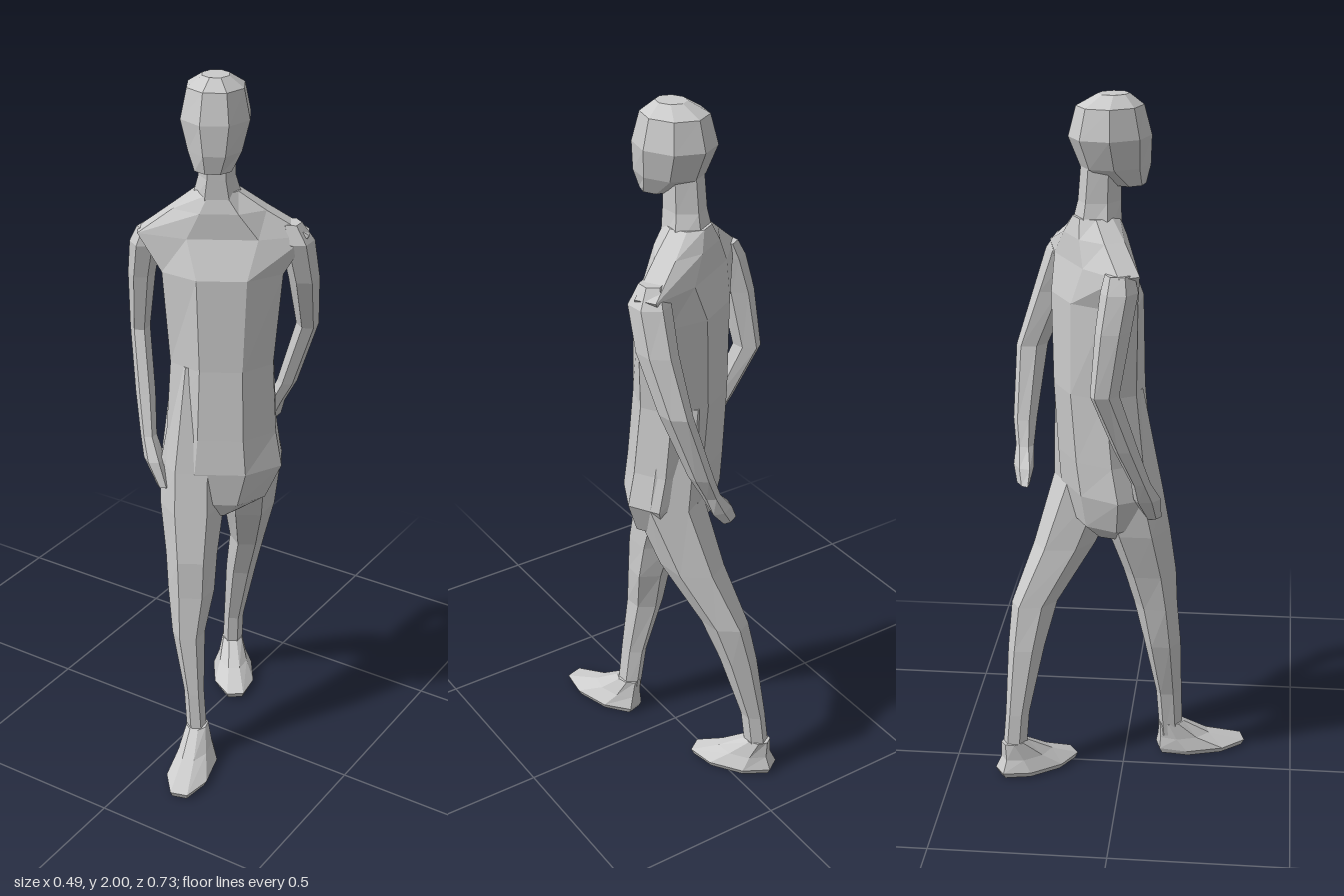
import * as THREE from 'three';

const material = new THREE.MeshStandardMaterial({ color: 0xcccccc, flatShading: true });

// Faceted loft through horizontal rings [x, y, z, halfWidth, halfDepth], listed from top to bottom.
function loft(name, rings, sides = 6, phase = 0) {
  const grow = phase ? 1 / Math.cos(Math.PI / sides) : 1;
  const points = [], faces = [];
  for (const [x, y, z, a, b] of rings) {
    for (let j = 0; j < sides; j++) {
      const t = (j + phase) / sides * Math.PI * 2;
      points.push(x + Math.cos(t) * a * grow, y, z + Math.sin(t) * b * grow);
    }
  }
  const last = (rings.length - 1) * sides;
  for (let i = 0; i < last; i += sides) {
    for (let j = 0; j < sides; j++) {
      const k = (j + 1) % sides;
      faces.push(i + j, i + k, i + sides + k, i + j, i + sides + k, i + sides + j);
    }
  }
  for (let j = 1; j < sides - 1; j++) {
    faces.push(0, j + 1, j, last, last + j, last + j + 1);
  }
  const indexed = new THREE.BufferGeometry();
  indexed.setAttribute('position', new THREE.Float32BufferAttribute(points, 3));
  indexed.setIndex(faces);
  const geometry = indexed.toNonIndexed();
  geometry.computeVertexNormals();
  const mesh = new THREE.Mesh(geometry, material);
  mesh.name = name;
  return mesh;
}

// Foot: ankle widening to an instep and a long thin sole, turned about the ankle
function foot(name, x, z, turn, soleX, soleZ, halfLength) {
  const mesh = loft(name, [
    [0, 0.11, 0, 0.029, 0.036],
    [soleX / 2, 0.06, 0.04, 0.042, 0.075],
    [soleX, 0.022, soleZ, 0.06, halfLength],
    [soleX, 0.005, soleZ, 0.052, halfLength - 0.008],
  ], 8, 0.5);
  mesh.position.set(x, 0, z);
  mesh.rotation.y = turn;
  return mesh;
}

export function createModel() {
  const model = new THREE.Group();
  model.name = 'walkingMan';

  // The figure is built facing +z, then turned towards its walking direction
  const figure = new THREE.Group();
  figure.name = 'figure';
  figure.rotation.y = Math.PI / 6;
  model.add(figure);

  figure.add(loft('head', [
    [0.04, 2.0, -0.01, 0.035, 0.04],
    [0.04, 1.97, -0.02, 0.074, 0.085],
    [0.04, 1.89, -0.02, 0.09, 0.105],
    [0.04, 1.81, -0.004, 0.07, 0.09],
    [0.036, 1.76, 0.03, 0.048, 0.045],
  ], 8, 0.5));

  figure.add(loft('neck', [
    [0.042, 1.83, -0.045, 0.048, 0.055],
    [0.043, 1.72, -0.05, 0.05, 0.06],
    [0.045, 1.63, -0.06, 0.075, 0.07],
  ]));

  figure.add(loft('torso', [
    [0.045, 1.68, -0.06, 0.055, 0.058],
    [0.05, 1.63, -0.06, 0.125, 0.07],
    [0.06, 1.56, -0.062, 0.23, 0.073],
    [0.06, 1.46, -0.05, 0.163, 0.108],
    [0.06, 1.2, -0.045, 0.141, 0.113],
    [0.06, 1.0, -0.03, 0.152, 0.115],
    [0.06, 0.9, -0.02, 0.17, 0.115],
    [0.055, 0.8, -0.015, 0.13, 0.1],
    [0.045, 0.75, -0.005, 0.06, 0.06],
  ], 8, 0.5));

  // Left arm is swung behind the back, right arm hangs in front of the hip
  figure.add(loft('leftArm', [
    [0.24, 1.59, -0.055, 0.03, 0.035],
    [0.258, 1.54, -0.058, 0.048, 0.058],
    [0.28, 1.42, -0.09, 0.043, 0.058],
    [0.294, 1.26, -0.15, 0.032, 0.048],
    [0.241, 1.06, -0.197, 0.029, 0.035],
    [0.21, 0.99, -0.212, 0.026, 0.026],
  ]));
  figure.add(loft('leftHand', [
    [0.21, 0.99, -0.212, 0.026, 0.026],
    [0.182, 0.94, -0.228, 0.044, 0.026],
    [0.155, 0.895, -0.242, 0.034, 0.014],
  ]));
  figure.add(loft('rightArm', [
    [-0.14, 1.565, -0.076, 0.034, 0.04],
    [-0.152, 1.52, -0.082, 0.043, 0.052],
    [-0.165, 1.42, -0.106, 0.038, 0.05],
    [-0.174, 1.25, -0.135, 0.028, 0.042],
    [-0.156, 1.08, -0.065, 0.028, 0.035],
    [-0.145, 0.97, -0.015, 0.023, 0.028],
  ]));
  figure.add(loft('rightHand', [
    [-0.145, 0.97, -0.015, 0.023, 0.028],
    [-0.127, 0.91, 0.014, 0.03, 0.04],
    [-0.1, 0.84, 0.046, 0.018, 0.024],
  ]));

  // Right leg strides forward, left leg trails; both blend up into the hips
  figure.add(loft('rightLeg', [
    [0, 1.2, -0.035, 0.075, 0.09],
    [-0.02, 0.9, 0.01, 0.09, 0.097],
    [-0.02, 0.78, 0.037, 0.09, 0.092],
    [-0.02, 0.64, 0.075, 0.073, 0.077],
    [-0.02, 0.53, 0.095, 0.066, 0.062],
    [-0.027, 0.4, 0.115, 0.047, 0.055],
    [-0.01, 0.22, 0.146, 0.029, 0.04],
    [0, 0.07, 0.16, 0.029, 0.036],
  ]));
  figure.add(loft('leftLeg', [
    [0.11, 1.2, -0.06, 0.075, 0.095],
    [0.138, 0.9, -0.04, 0.092, 0.108],
    [0.138, 0.7, -0.122, 0.074, 0.094],
    [0.132, 0.53, -0.223, 0.052, 0.07],
    [0.114, 0.4, -0.259, 0.045, 0.055],
    [0.092, 0.2, -0.3, 0.03, 0.036],
    [0.088, 0.07, -0.314, 0.03, 0.036],
  ]));
  figure.add(foot('rightFoot', 0, 0.16, -0.24, 0.012, 0.094, 0.132));
  figure.add(foot('leftFoot', 0.088, -0.314, 0.08, 0, 0.074, 0.125));

  return model;
}
